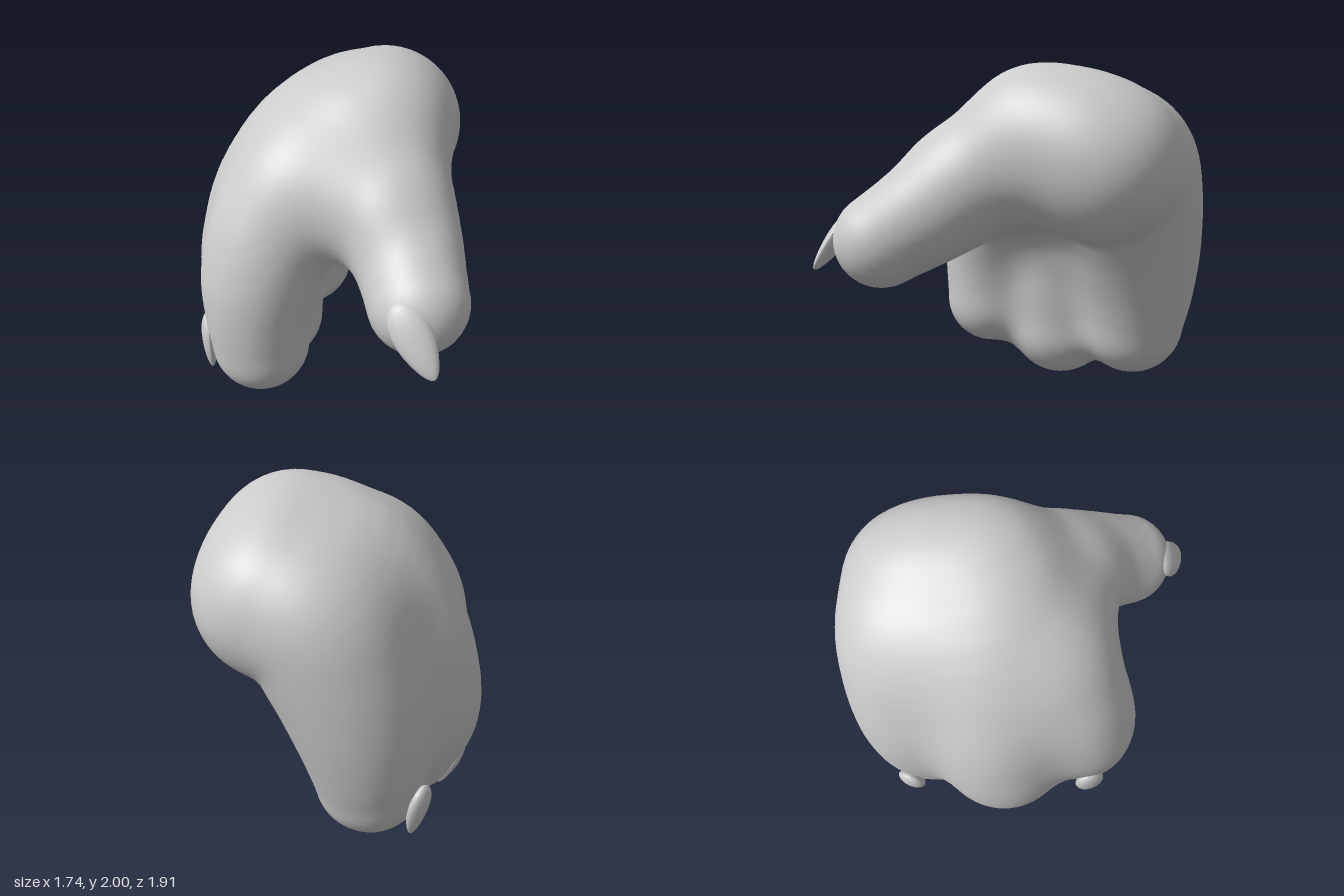
import * as THREE from 'three';

const grey = new THREE.MeshStandardMaterial({ color: 0xcccccc });

// Smooth spine through joints [x, y, z, radius], sampled into short links
function spine(...joints) {
  const path = new THREE.CatmullRomCurve3(joints.map((j) => new THREE.Vector3(j[0], j[1], j[2])));
  const radius = new THREE.SplineCurve(joints.map((j, i) => new THREE.Vector2(i, j[3])));
  const links = (joints.length - 1) * 6;
  return Array.from({ length: links + 1 }, (_, i) => [...path.getPoint(i / links).toArray(), radius.getPoint(i / links).y]);
}

const spines = [
  // front, middle and rear fingers, each running from the wrist over the back of the hand
  spine([0.185, 1.595, -0.16, 0.36], [-0.07, 1.455, 0.04, 0.395], [-0.25, 1.2, 0.26, 0.37],
    [-0.33, 0.9, 0.39, 0.335], [-0.34, 0.66, 0.435, 0.3], [-0.33, 0.455, 0.445, 0.28]),
  spine([0.185, 1.6, -0.3, 0.36], [-0.11, 1.475, -0.2, 0.42], [-0.33, 1.21, -0.1, 0.41],
    [-0.44, 0.92, -0.06, 0.4], [-0.48, 0.62, -0.02, 0.385], [-0.44, 0.325, 0, 0.32]),
  spine([0.13, 1.49, -0.5, 0.44], [-0.08, 1.42, -0.52, 0.43], [-0.22, 1.18, -0.53, 0.41],
    [-0.32, 0.9, -0.53, 0.38], [-0.37, 0.66, -0.52, 0.345], [-0.39, 0.43, -0.5, 0.31]),
  // thumb
  spine([0.17, 1.56, -0.1, 0.37], [0.33, 1.4, 0.13, 0.335], [0.475, 1.22, 0.35, 0.3], [0.61, 1.045, 0.595, 0.265]),
  // web between thumb and front finger
  spine([-0.1, 1.38, 0.18, 0.33], [0.1, 1.365, 0.23, 0.3], [0.3, 1.34, 0.27, 0.265]),
];

// Distance to a capsule whose radius changes from a to b
function capsule(x, y, z, a, b) {
  const dx = b[0] - a[0], dy = b[1] - a[1], dz = b[2] - a[2];
  const dot = (x - a[0]) * dx + (y - a[1]) * dy + (z - a[2]) * dz;
  const t = Math.min(1, Math.max(0, dot / (dx * dx + dy * dy + dz * dz)));
  const px = x - a[0] - dx * t, py = y - a[1] - dy * t, pz = z - a[2] - dz * t;
  return Math.sqrt(px * px + py * py + pz * pz) - (a[3] + (b[3] - a[3]) * t);
}

function blend(a, b, k) {
  const h = Math.max(k - Math.abs(a - b), 0) / k;
  return Math.min(a, b) - h * h * k / 4;
}

// Distance to the blended hand
function field(x, y, z) {
  let d = 9;
  for (const s of spines) {
    let f = 9;
    for (let i = 0; i + 1 < s.length; i++) f = Math.min(f, capsule(x, y, z, s[i], s[i + 1]));
    d = blend(d, f, 0.16);
  }
  return d;
}

function slope(x, y, z) {
  const e = 0.06;
  return new THREE.Vector3(
    field(x + e, y, z) - field(x - e, y, z),
    field(x, y + e, z) - field(x, y - e, z),
    field(x, y, z + e) - field(x, y, z - e),
  ).normalize();
}

// Skin the field: one vertex per crossed cell, one quad per crossed edge
function skinGeometry() {
  const n = 46, step = 0.05, origin = [-1.13, -0.13, -1.13];
  const stride = [1, n, n * n];
  const values = new Float32Array(n * n * n);
  const at = (i, a) => origin[a] + i * step;
  for (let k = 0, q = 0; k < n; k++)
    for (let j = 0; j < n; j++)
      for (let i = 0; i < n; i++) values[q++] = field(at(i, 0), at(j, 1), at(k, 2));

  const positions = [], normals = [], index = [], cell = new Int32Array(n * n * n);
  for (let k = 0; k < n - 1; k++) for (let j = 0; j < n - 1; j++) for (let i = 0; i < n - 1; i++) {
    const q = i + j * n + k * n * n;
    let inside = 0;
    for (let c = 0; c < 8; c++) {
      if (values[q + (c & 1) + ((c >> 1) & 1) * n + (c >> 2) * n * n] < 0) inside++;
    }
    if (inside === 0 || inside === 8) continue;
    // start at the cell centre and slide onto the surface
    const p = new THREE.Vector3(at(i + 0.5, 0), at(j + 0.5, 1), at(k + 0.5, 2));
    for (let s = 0; s < 3; s++) p.addScaledVector(slope(p.x, p.y, p.z), -field(p.x, p.y, p.z));
    cell[q] = positions.length / 3;
    positions.push(p.x, p.y, p.z);
    normals.push(...slope(p.x, p.y, p.z).toArray());
  }
  for (let k = 1; k < n - 1; k++) for (let j = 1; j < n - 1; j++) for (let i = 1; i < n - 1; i++) {
    const q = i + j * n + k * n * n;
    for (let a = 0; a < 3; a++) {
      const in0 = values[q] < 0, in1 = values[q + stride[a]] < 0;
      if (in0 === in1) continue;
      const b = stride[(a + 1) % 3], c = stride[(a + 2) % 3];
      const v = [cell[q], cell[q - b], cell[q - b - c], cell[q - c]];
      if (!in0) v.reverse();
      index.push(v[0], v[1], v[2], v[0], v[2], v[3]);
    }
  }
  const geometry = new THREE.BufferGeometry();
  geometry.setAttribute('position', new THREE.Float32BufferAttribute(positions, 3));
  geometry.setAttribute('normal', new THREE.Float32BufferAttribute(normals, 3));
  geometry.setIndex(index);
  return geometry;
}

// Flattened teardrop running from base to tip, its flat side facing outward
function claw(name, base, tip, outward, width, thickness) {
  const a = new THREE.Vector3(...base), b = new THREE.Vector3(...tip);
  const along = b.clone().sub(a), length = along.length();
  along.normalize();
  const side = along.clone().cross(new THREE.Vector3(...outward)).normalize();
  const out = side.clone().cross(along);
  const geometry = new THREE.SphereGeometry(1, 16, 12);
  const p = geometry.attributes.position;
  for (let i = 0; i < p.count; i++) {
    const y = p.getY(i), taper = 1 - 0.3 * y;
    p.setXYZ(i, p.getX(i) * taper * width, y * length / 2, p.getZ(i) * taper * thickness);
  }
  geometry.computeVertexNormals();
  const mesh = new THREE.Mesh(geometry, grey);
  mesh.name = name;
  mesh.quaternion.setFromRotationMatrix(new THREE.Matrix4().makeBasis(side, along, out));
  mesh.position.copy(a.add(b).multiplyScalar(0.5));
  return mesh;
}

export function createModel() {
  const group = new THREE.Group();
  group.name = 'clawedHand';
  const hand = new THREE.Mesh(skinGeometry(), grey);
  hand.name = 'hand';
  group.add(
    hand,
    claw('frontFingerClaw', [-0.63, 0.63, 0.5], [-0.61, 0.27, 0.54], [-0.9, 0, 0.4], 0.085, 0.045),
    claw('middleFingerClaw', [-0.78, 0.37, 0.05], [-0.65, 0.005, 0.05], [-1, -0.3, 0.1], 0.085, 0.045),
    claw('rearFingerClaw', [-0.72, 0.52, -0.57], [-0.67, 0.17, -0.58], [-0.95, 0, -0.3], 0.085, 0.045),
    claw('thumbClaw', [0.54, 1.18, 0.8], [0.78, 0.87, 0.945], [0.1, 0.45, 0.9], 0.1, 0.05),
  );
  return group;
}
